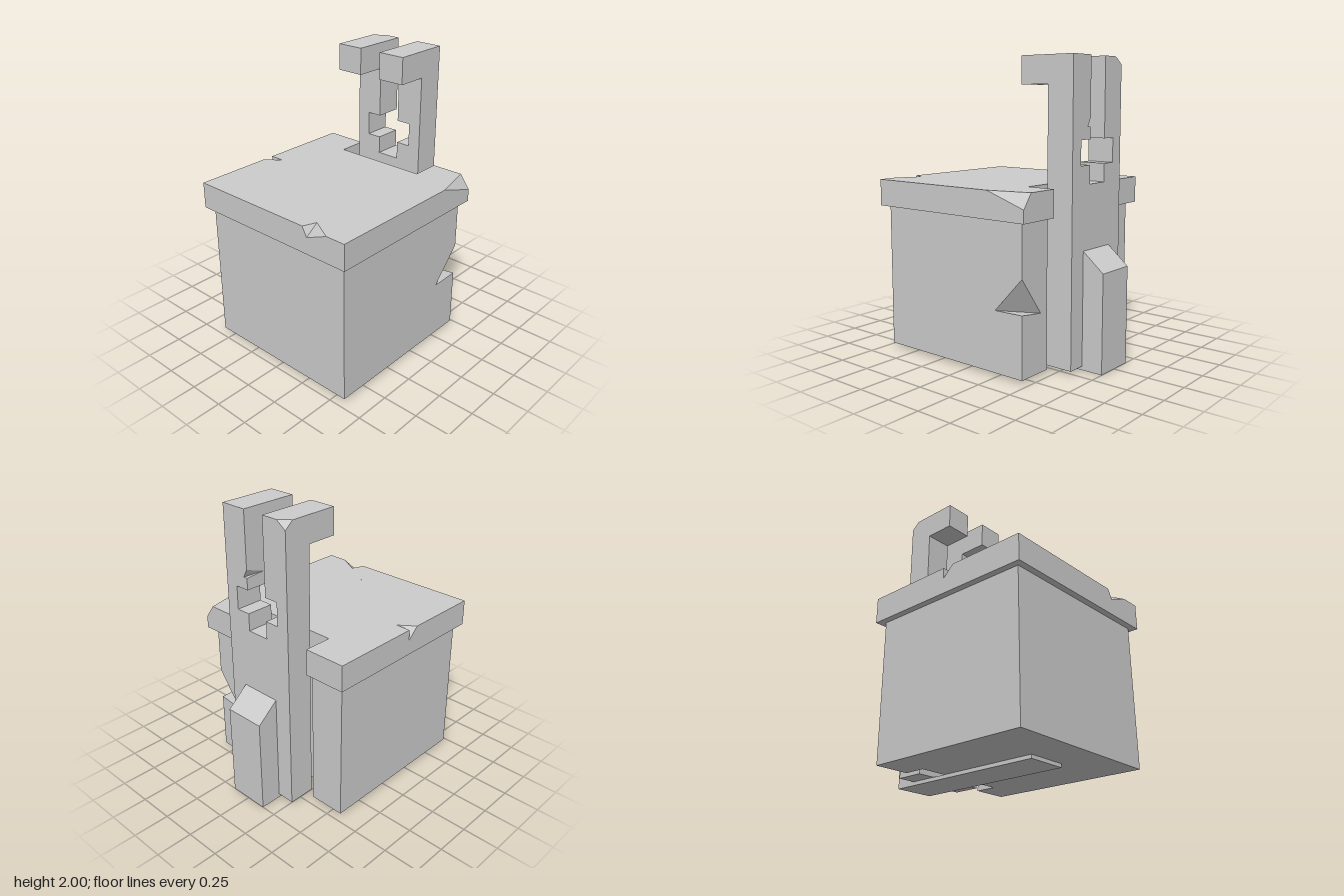
import * as THREE from 'three';

const material = new THREE.MeshStandardMaterial({ color: 0xcccccc, flatShading: true });
const V = (p) => new THREE.Vector3(...p);

function extrude(points, depth) {
  const shape = new THREE.Shape(points.map((p) => new THREE.Vector2(...p)));
  return new THREE.ExtrudeGeometry(shape, { depth, bevelEnabled: false });
}

// Split a convex polygon by a plane into [outside, inside] point lists.
function split(poly, plane) {
  const out = [], inn = [], eps = 1e-5;
  poly.forEach((a, i) => {
    const b = poly[(i + 1) % poly.length];
    const da = plane.distanceToPoint(a) - eps, db = plane.distanceToPoint(b) - eps;
    (da > 0 ? out : inn).push(a);
    if (da > 0 !== db > 0) {
      const m = a.clone().lerp(b, da / (da - db));
      out.push(m);
      inn.push(m);
    }
  });
  return [out, inn];
}

// Knock a tetrahedral chip out of a solid. The faces opposite the first
// `count` corners become the newly broken faces.
function chip(geometry, corners, count) {
  const pts = corners.map(V);
  const tetra = pts.map((opposite, i) => {
    const tri = pts.filter((_, j) => j !== i);
    let plane = new THREE.Plane().setFromCoplanarPoints(...tri);
    if (plane.distanceToPoint(opposite) > 0) {
      tri.reverse();
      plane = new THREE.Plane().setFromCoplanarPoints(...tri);
    }
    return { tri, plane };
  });
  const flat = geometry.index ? geometry.toNonIndexed() : geometry;
  const pos = flat.attributes.position;
  const polys = [];
  for (let i = 0; i < pos.count; i += 3) {
    const whole = [0, 1, 2].map((k) => new THREE.Vector3().fromBufferAttribute(pos, i + k));
    const kept = [];
    let rest = whole;
    for (const { plane } of tetra) {
      const [out, inn] = split(rest, plane);
      if (out.length > 2) kept.push(out);
      rest = inn;
      if (rest.length < 3) break;
    }
    polys.push(...(rest.length < 3 ? [whole] : kept));
  }
  for (const { tri } of tetra.slice(0, count)) polys.push(tri.slice().reverse());

  const verts = [];
  for (const p of polys)
    for (let k = 1; k < p.length - 1; k++) verts.push(p[0], p[k], p[k + 1]);
  const result = new THREE.BufferGeometry().setFromPoints(verts);
  result.computeVertexNormals();
  return result;
}

// Upright block with a slot in its right side for the post.
function slottedBlock(x0, x1, halfZ, y0, y1) {
  const slotX = 0.31, slotZ = 0.335;
  const geometry = extrude([
    [x0, -halfZ], [x1, -halfZ], [x1, -slotZ], [slotX, -slotZ],
    [slotX, slotZ], [x1, slotZ], [x1, halfZ], [x0, halfZ],
  ], y1 - y0);
  return geometry.rotateX(-Math.PI / 2).translate(0, y0, 0);
}

export function createModel() {
  const group = new THREE.Group();
  const add = (name, geometry) => {
    const mesh = new THREE.Mesh(geometry, material);
    mesh.name = name;
    group.add(mesh);
  };

  // Main block, chipped on its front right edge
  const base = 0.025, slabBottom = 1.005, slabTop = 1.185;
  add('body', chip(slottedBlock(-0.705, 0.46, 0.585, base, slabBottom),
    [[0.46, 0.435, 0.585], [0.46, 0.66, 0.585], [0.245, 0.43, 0.585], [0.46, 0.41, 0.4]], 2));

  // Overhanging top slab with one broken corner and two edge notches
  let slab = slottedBlock(-0.75, 0.51, 0.63, slabBottom, slabTop);
  slab = chip(slab, [[0.51, slabTop, 0.63], [0.22, slabTop, 0.63],
    [0.51, 1.09, 0.63], [0.51, slabTop, 0.56]], 1);
  slab = chip(slab, [[-0.21, slabTop, -0.63], [-0.13, slabTop, -0.63],
    [-0.13, slabTop, -0.525], [-0.13, 1.11, -0.63]], 2);
  slab = chip(slab, [[-0.75, slabTop, 0.295], [-0.75, slabTop, 0.49],
    [-0.66, slabTop, 0.33], [-0.75, 1.12, 0.33]], 2);
  add('topSlab', slab);

  // Forked post with a cross-shaped opening
  const half = [[0.27, base], [0.27, 2], [0.08, 2], [0.08, 1.48], [0.18, 1.48],
    [0.18, 1.32], [0.08, 1.32], [0.08, 1.2]];
  const outline = [...half, ...half.slice().reverse().map(([z, y]) => [-z, y])];
  let post = extrude(outline, 0.19).rotateY(Math.PI / 2).translate(0.41, 0, 0);
  post = chip(post, [[0.6, 2, -0.27], [0.54, 2, -0.27], [0.6, 1.95, -0.27], [0.6, 2, -0.2]], 1);
  post = chip(post, [[0.6, 1.56, 0.08], [0.6, 1.615, 0.08],
    [0.6, 1.56, 0.11], [0.46, 1.57, 0.08]], 2);
  add('forkedPost', post);

  // Hooks reaching inward from the tops of the two prongs
  for (const side of [-1, 1])
    add(side > 0 ? 'frontHook' : 'backHook',
      new THREE.BoxGeometry(0.21, 0.18, 0.19).translate(0.305, 1.91, side * 0.175));

  // Foot plate running under the block and up into a sloped buttress
  add('footAndButtress', extrude([[-0.42, 0], [0.75, 0], [0.75, 0.655], [0.6, 0.78],
    [0.6, base], [-0.42, base]], 0.29).translate(0, 0, -0.145));

  return group;
}
